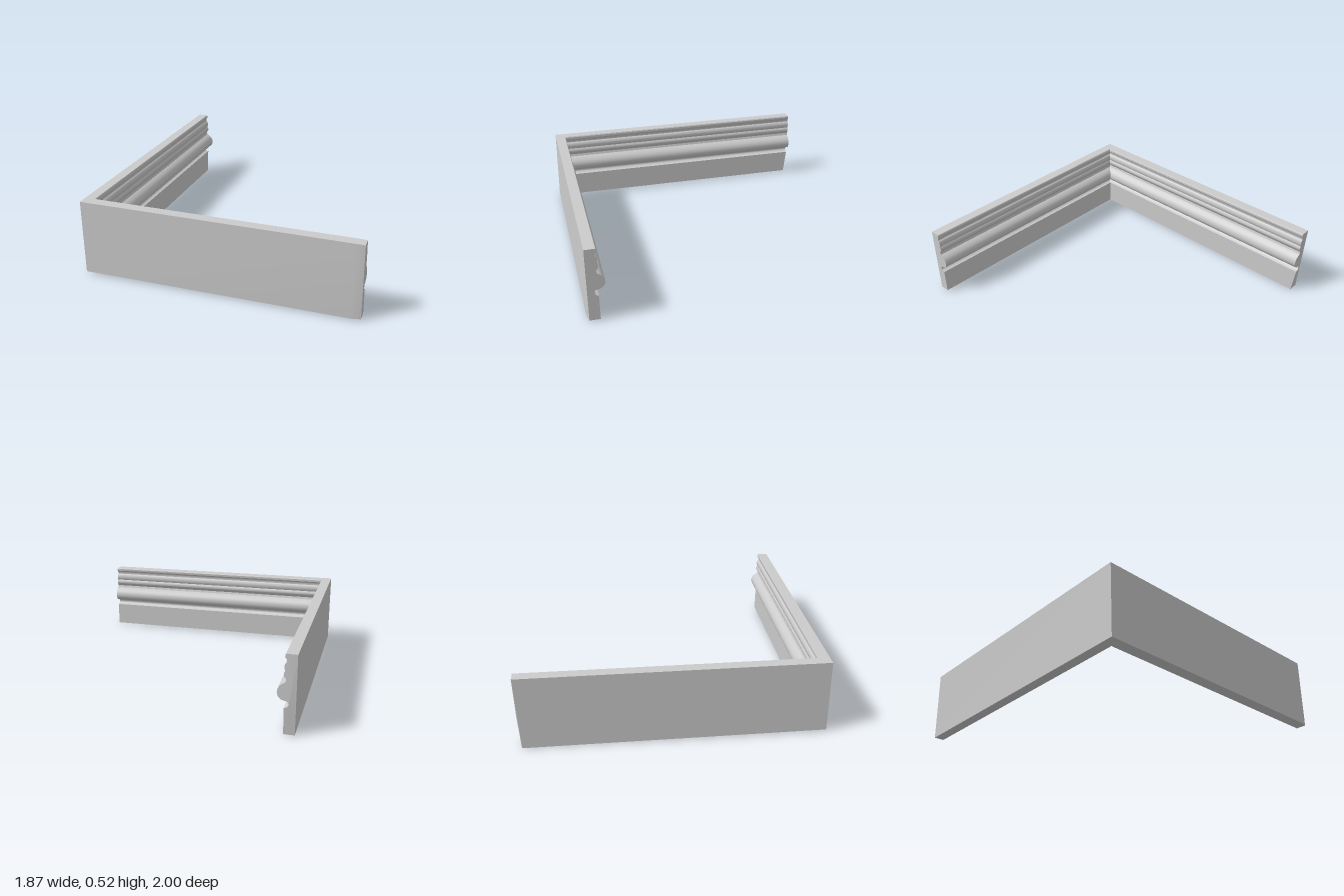
import * as THREE from 'three';
import { toCreasedNormals } from 'three/addons/utils/BufferGeometryUtils.js';

// Moulding cross-section: x = depth from the plain outer face, y = height
function profile() {
  const s = new THREE.Shape();
  s.moveTo(0, 0);
  s.lineTo(0.07, 0);
  s.lineTo(0.07, 0.175);                              // plain lower board
  s.quadraticCurveTo(0.036, 0.185, 0.043, 0.205);     // groove
  s.lineTo(0.05, 0.217);
  s.lineTo(0.075, 0.222);
  s.bezierCurveTo(0.095, 0.225, 0.115, 0.245, 0.115, 0.272); // large bulge
  s.bezierCurveTo(0.115, 0.305, 0.088, 0.325, 0.068, 0.335);
  s.lineTo(0.063, 0.352);
  s.lineTo(0.07, 0.364);
  s.quadraticCurveTo(0.085, 0.382, 0.073, 0.4);       // small bead
  s.lineTo(0.07, 0.405);
  s.quadraticCurveTo(0.083, 0.43, 0.07, 0.452);       // upper bead
  s.lineTo(0.062, 0.458);
  s.quadraticCurveTo(0.06, 0.478, 0.074, 0.487);      // cove under the top lip
  s.lineTo(0.074, 0.503);
  s.lineTo(0.07, 0.51);
  s.lineTo(0, 0.51);
  return s;
}

export function createModel() {
  const group = new THREE.Group();
  const geo = new THREE.ExtrudeGeometry(profile(), { depth: 3, steps: 3, bevelEnabled: false, curveSegments: 8 });

  // Stations along the run: back end, mitred corner, near the right end, right end
  const left = -0.935;
  const stations = [
    { at: (d, y) => [left + d, -1 + 0.02 * Math.max(0, 1 - y / 0.175)], low: 0, high: 0.513 },
    { at: (d, y, out) => [left + d, 0.985 + out - d], low: 0.012, high: 0.52 },
    { at: (d, y, out) => [0.87, 0.985 + out - d], low: 0.008, high: 0.511 },
    { at: (d, y, out) => [0.93, 0.985 - d], low: 0.008, high: 0.51 },
  ];
  const p = geo.attributes.position;
  for (let i = 0; i < p.count; i++) {
    const d = p.getX(i), y = p.getY(i);
    const s = stations[Math.round(p.getZ(i))];
    const out = d < 0.01 ? 0.012 * (1 - y / 0.51) : 0; // outer face leans slightly
    const [x, z] = s.at(d, y, out);
    p.setXYZ(i, x, s.low + (y / 0.51) * (s.high - s.low), z);
  }
  geo.computeVertexNormals();

  const mesh = new THREE.Mesh(
    toCreasedNormals(geo, 0.5),
    new THREE.MeshStandardMaterial({ color: 0xcccccc })
  );
  mesh.name = 'corner moulding';
  group.add(mesh);
  return group;
}
